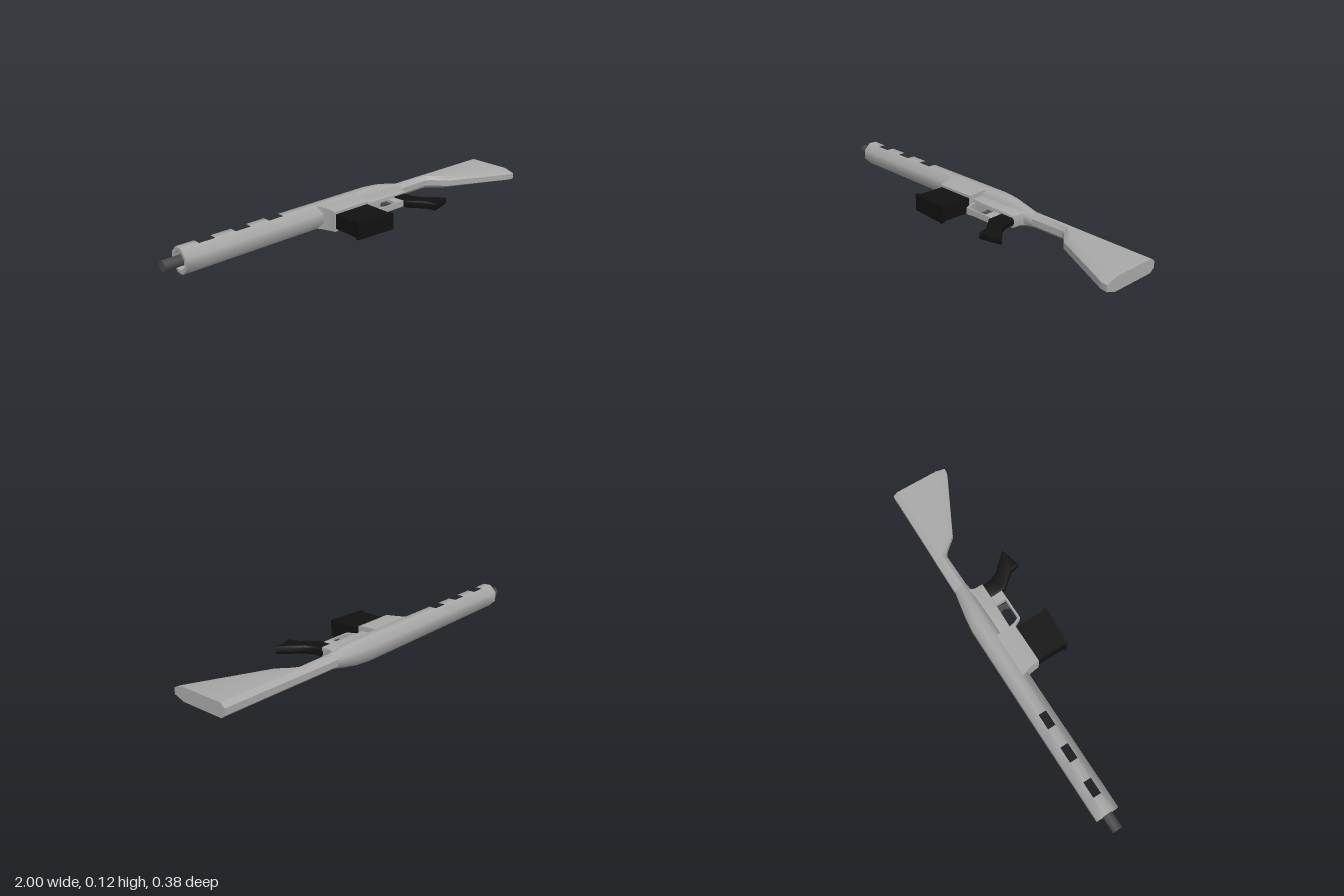
import * as THREE from 'three';
import { toCreasedNormals } from 'three/addons/utils/BufferGeometryUtils.js';

const MID = 0.06; // height of the long axis

function mat(name, color) {
  const m = new THREE.MeshStandardMaterial({ color });
  m.name = name;
  return m;
}

// Eight-sided ring across x: top/bottom z, half width, chamfers, half width of the narrow edges
function ring(x, top, bot, half, cTop, cBot, flat) {
  return [[half, top + cTop], [half, bot - cBot], [flat, bot], [-flat, bot],
    [-half, bot - cBot], [-half, top + cTop], [-flat, top], [flat, top]]
    .map(([y, z]) => [x, MID + y, z]);
}

// Skin over rings with end caps; segments listed in slots are cut through from side to side
function loft(rings, crease, slots = []) {
  const pos = [];
  const quad = (a, b, c, d) => [a, b, c, a, c, d].forEach((p) => pos.push(...p));
  const n = rings[0].length;
  for (let s = 0; s < rings.length - 1; s++) {
    const a = rings[s], b = rings[s + 1], cut = slots.includes(s);
    for (let i = 0; i < n; i++) {
      if (cut && (i === 0 || i === 4)) continue;
      const j = (i + 1) % n;
      quad(a[i], a[j], b[j], b[i]);
    }
    if (cut) {
      quad(a[0], b[0], b[5], a[5]);
      quad(a[1], a[4], b[4], b[1]);
      quad(a[0], a[5], a[4], a[1]);
      quad(b[0], b[1], b[4], b[5]);
    }
  }
  const first = rings[0], last = rings[rings.length - 1];
  for (let i = 1; i < n - 1; i++) {
    pos.push(...first[0], ...first[i + 1], ...first[i]);
    pos.push(...last[0], ...last[i], ...last[i + 1]);
  }
  const g = new THREE.BufferGeometry();
  g.setAttribute('position', new THREE.Float32BufferAttribute(pos, 3));
  return toCreasedNormals(g, crease);
}

// Plate outlined in x and z, centred on the long axis
function plate(points, half, bevel = 0, hole = null) {
  const toV = ([x, z]) => new THREE.Vector2(x, -z);
  const shape = new THREE.Shape(points.map(toV));
  if (hole) shape.holes.push(new THREE.Path(hole.map(toV)));
  const g = new THREE.ExtrudeGeometry(shape, {
    depth: 2 * (half - bevel), bevelEnabled: bevel > 0, bevelThickness: bevel,
    bevelSize: bevel, bevelOffset: -bevel, bevelSegments: 3,
  });
  g.translate(0, 0, bevel - half);
  g.rotateX(-Math.PI / 2);
  g.translate(0, MID, 0);
  return toCreasedNormals(g, 0.7);
}

export function createModel() {
  const model = new THREE.Group();
  const grey = mat('lightGrey', 0xa8a8a8);
  const steel = mat('darkSteel', 0x484848);
  const black = mat('black', 0x111111);
  const add = (name, geometry, material) => {
    const m = new THREE.Mesh(geometry, material);
    m.name = name;
    model.add(m);
    return m;
  };

  // Shroud and receiver: recessed front, three through slots, tapered rear
  const tube = (x) => ring(x, -0.192, -0.08, 0.06, 0.036, 0.036, 0.025);
  const bore = (x) => ring(x, -0.176, -0.096, 0.043, 0.026, 0.026, 0.018);
  const rings = [bore(-0.87), bore(-0.92), tube(-0.92)];
  const slots = [];
  for (const x of [-0.83, -0.645, -0.465]) {
    slots.push(rings.length);
    rings.push(tube(x), tube(x + 0.08));
  }
  rings.push(tube(0.15),
    ring(0.23, -0.182, -0.08, 0.058, 0.036, 0.034, 0.024),
    ring(0.31, -0.168, -0.082, 0.046, 0.032, 0.028, 0.02),
    ring(0.38, -0.155, -0.09, 0.032, 0.024, 0.02, 0.014));
  add('receiver', loft(rings, 0.95, slots), grey);

  // Barrel tip
  const barrel = new THREE.CylinderGeometry(0.025, 0.025, 0.15, 16);
  barrel.rotateZ(Math.PI / 2);
  add('barrel', barrel, steel).position.set(-0.925, MID, -0.136);

  // Shoulder stock
  const stock = [
    [0.35, -0.158, -0.09, 0.02], [0.56, -0.156, -0.093, 0.02], [0.585, -0.155, -0.075, 0.022],
    [0.64, -0.154, -0.01, 0.035], [0.95, -0.15, 0.143, 0.052], [0.97, -0.15, 0.152, 0.055],
    [1.0, -0.15, 0.156, 0.055],
  ].map(([x, top, bot, cBot]) => ring(x, top, bot, 0.033, 0.024, cBot, 0.015));
  add('stock', loft(stock, 0.55), grey);

  // Magazine well, flared where it meets the receiver
  const well = new THREE.BoxGeometry(0.215, 0.1, 0.125, 1, 1, 4);
  const p = well.attributes.position;
  for (let i = 0; i < p.count; i++) {
    const t = 0.5 - p.getZ(i) / 0.125;
    p.setY(i, p.getY(i) * (1 + 0.17 * Math.sqrt(t)));
    if (p.getX(i) < 0) p.setX(i, p.getX(i) - 0.035 * t * t);
  }
  well.computeVertexNormals();
  add('magazineWell', well, grey).position.set(-0.057, MID, -0.0725);

  // Magazine with a wider floor plate
  add('magazine', plate([[-0.157, -0.02], [0.043, -0.02], [0.043, 0.155], [-0.157, 0.145]], 0.037), black);
  add('magazineFloor', plate([[-0.163, 0.137], [0.048, 0.147], [0.048, 0.168], [-0.163, 0.153]], 0.042), black);

  // Trigger housing below the receiver
  add('triggerHousing', plate([[0.04, -0.1], [0.34, -0.1], [0.325, -0.07], [0.325, -0.025],
    [0.24, -0.025], [0.05, -0.03]], 0.032, 0.006), grey);
  add('triggerGuard', plate(
    [[0.055, -0.035], [0.062, 0.005], [0.08, 0.04], [0.26, 0.04], [0.26, -0.035]], 0.015, 0,
    [[0.068, -0.028], [0.074, 0.003], [0.088, 0.031], [0.2, 0.031], [0.2, -0.028]]), grey);
  add('trigger', plate([[0.15, -0.035], [0.198, -0.035], [0.188, -0.01], [0.185, 0.028],
    [0.155, 0.025], [0.165, 0]], 0.009), steel);

  // Pistol grip
  add('grip', plate([[0.245, -0.03], [0.325, -0.03], [0.327, 0.02], [0.345, 0.062], [0.435, 0.158],
    [0.325, 0.187], [0.312, 0.135], [0.25, 0.06]], 0.02, 0.009), black);

  return model;
}
